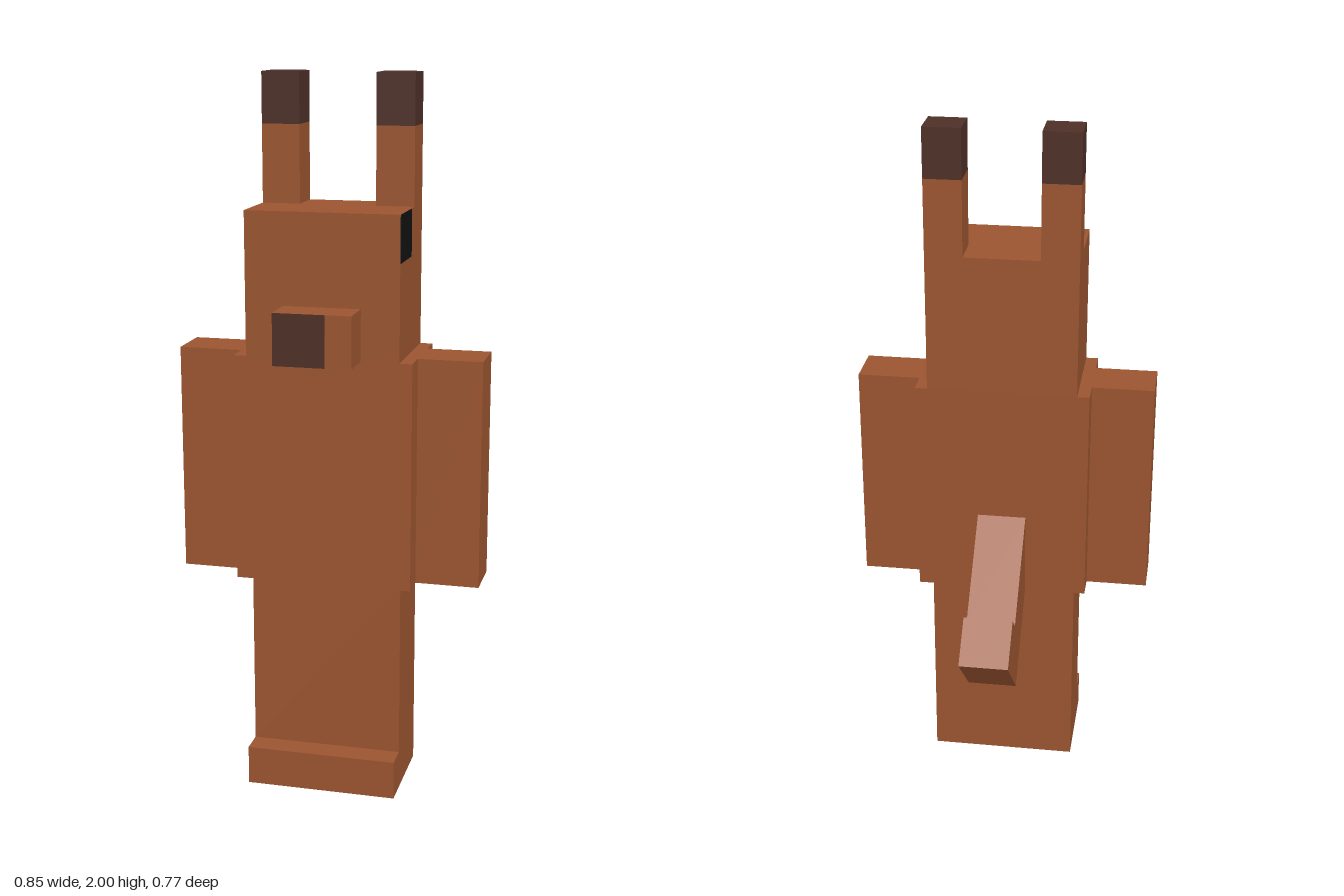
import * as THREE from 'three';

const mat = (name, color) => {
  const m = new THREE.MeshStandardMaterial({ color });
  m.name = name;
  return m;
};

export function createModel() {
  const fur = mat('brown fur', 0x9b5530);
  const dark = mat('dark brown', 0x4e3027);
  const black = mat('eye black', 0x111111);
  const model = new THREE.Group();
  model.name = 'longEaredAnimal';

  // Box given by its min and max on each axis
  const box = (name, material, [x0, x1], [y0, y1], [z0, z1]) => {
    const mesh = new THREE.Mesh(new THREE.BoxGeometry(x1 - x0, y1 - y0, z1 - z0), material);
    mesh.position.set((x0 + x1) / 2, (y0 + y1) / 2, (z0 + z1) / 2);
    mesh.name = name;
    model.add(mesh);
  };
  const back = -0.006, front = 0.278;

  // Legs and foot, one solid block each
  box('legs', fur, [-0.213, 0.213], [0.11, 0.612], [0.032, 0.242]);
  box('foot', fur, [-0.213, 0.213], [0, 0.11], [0.032, 0.312]);

  // Torso and head
  box('torso', fur, [-0.248, 0.248], [0.612, 1.25], [back, front]);
  box('head', fur, [-0.213, 0.213], [1.25, 1.645], [back, front]);

  // Snout with an off-centre nose patch
  box('snout', fur, [-0.107, 0.107], [1.25, 1.392], [front, 0.384]);
  box('nose', dark, [-0.107, 0.035], [1.25, 1.392], [0.384, 0.386]);

  // Single eye on the left side of the head
  box('eye', black, [0.213, 0.215], [1.517, 1.645], [0.14, front]);

  // Arms and dark-tipped ears
  for (const s of [-1, 1]) {
    const side = s > 0 ? 'left' : 'right';
    const span = (a, b) => (s > 0 ? [a, b] : [-b, -a]);
    box(side + 'Arm', fur, span(0.248, 0.426), [0.612, 1.25], [0.065, 0.206]);
    box(side + 'Ear', fur, span(0.107, 0.213), [1.645, 1.86], [back, 0.1]);
    box(side + 'EarTip', dark, span(0.107, 0.213), [1.86, 2], [back, 0.1]);
  }

  // Sloping tail with a raised square end: (z, y) profile extruded across x
  const profile = [[-0.006, 0.855], [-0.234, 0.627], [-0.285, 0.675],
    [-0.384, 0.576], [-0.208, 0.402], [-0.006, 0.606]];
  const shape = new THREE.Shape(profile.map(([z, y]) => new THREE.Vector2(z, y)));
  const tailGeo = new THREE.ExtrudeGeometry(shape, { depth: 0.14, bevelEnabled: false });
  tailGeo.translate(0, 0, -0.07).rotateY(-Math.PI / 2);
  const tail = new THREE.Mesh(tailGeo, fur);
  tail.name = 'tail';
  model.add(tail);

  return model;
}
